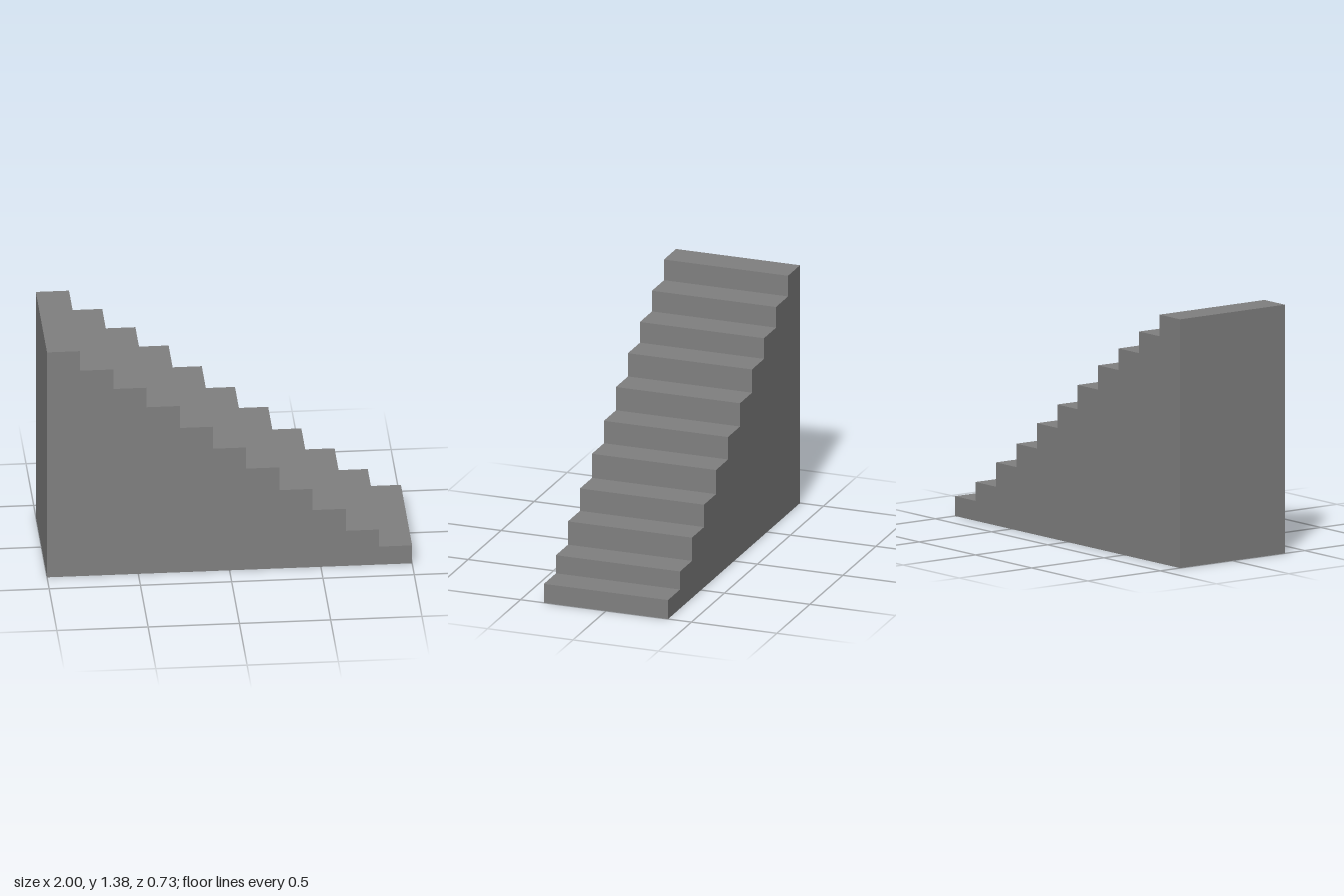
import * as THREE from 'three';

// Tread heights from the lowest step (right) to the highest (left)
const HEIGHTS = [0.11, 0.215, 0.35, 0.48, 0.62, 0.75, 0.885, 1.02, 1.14, 1.26, 1.38];
const LENGTH = 2;
const WIDTH = 0.726;

export function createModel() {
  const group = new THREE.Group();
  group.name = 'staircase';

  const grey = new THREE.MeshStandardMaterial({ color: 0x808080 });
  grey.name = 'stone grey';

  // Stepped side profile, walked up the stairs from the front foot
  const run = LENGTH / HEIGHTS.length;
  const profile = new THREE.Shape();
  profile.moveTo(-LENGTH / 2, 0);
  profile.lineTo(LENGTH / 2, 0);
  HEIGHTS.forEach((height, i) => {
    const x = LENGTH / 2 - i * run;
    profile.lineTo(x, height);
    profile.lineTo(x - run, height);
  });
  profile.closePath();

  // Solid flight of steps
  const geometry = new THREE.ExtrudeGeometry(profile, { depth: WIDTH, bevelEnabled: false });
  geometry.translate(0, 0, -WIDTH / 2);
  const steps = new THREE.Mesh(geometry, grey);
  steps.name = 'steps';
  group.add(steps);

  return group;
}
